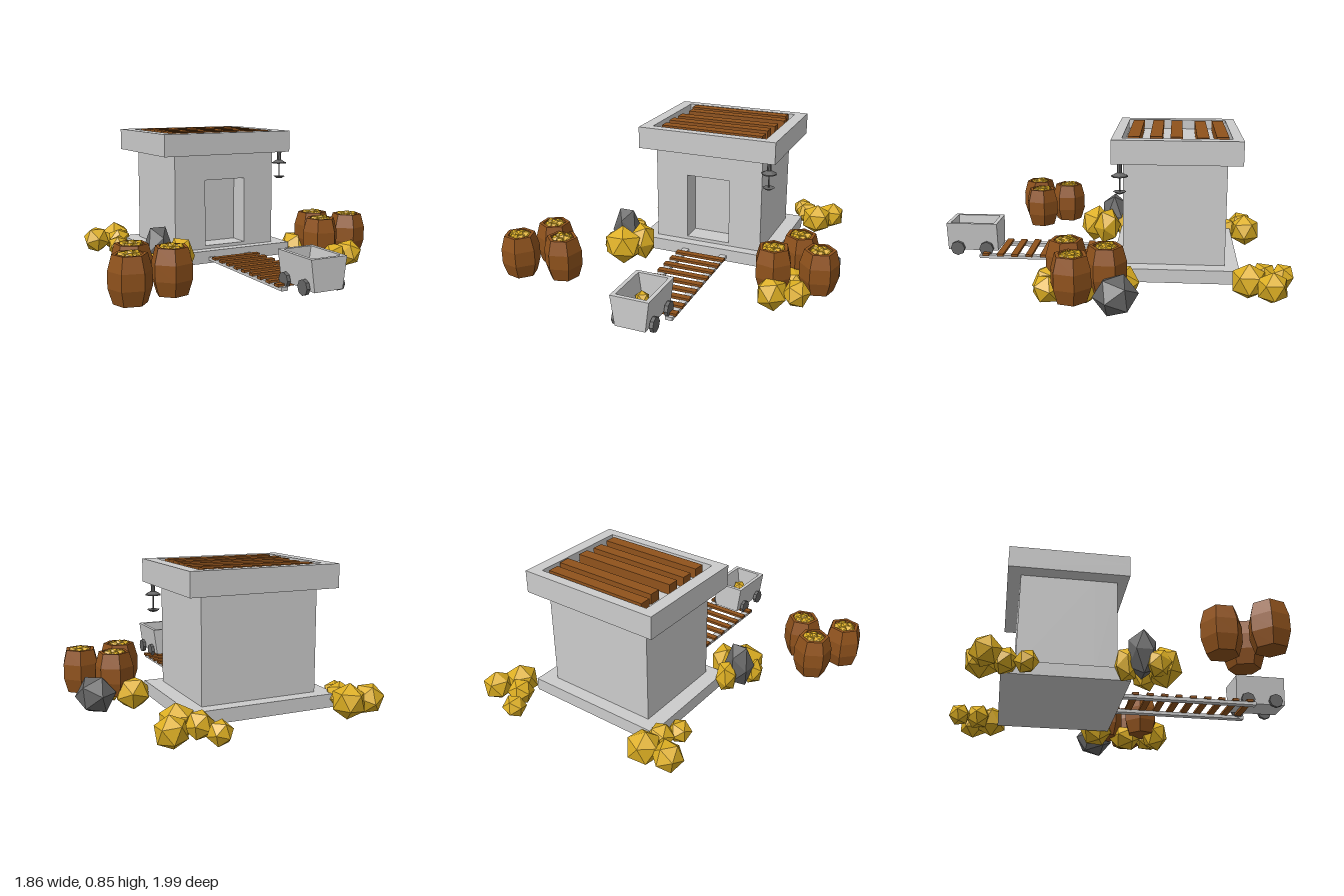
import * as THREE from 'three';

const mat = (color) => new THREE.MeshStandardMaterial({ color, flatShading: true });
const grey = mat(0xcccccc), dark = mat(0x666666), gold = mat(0xdcae22), wood = mat(0x8f521c);

function add(parent, name, geo, material, x = 0, y = 0, z = 0) {
  const m = new THREE.Mesh(geo, material);
  m.name = name;
  m.position.set(x, y, z);
  parent.add(m);
  return m;
}

// Box given by its min and max corners
function box(parent, name, material, x0, x1, y0, y1, z0, z1) {
  return add(parent, name, new THREE.BoxGeometry(x1 - x0, y1 - y0, z1 - z0), material,
    (x0 + x1) / 2, (y0 + y1) / 2, (z0 + z1) / 2);
}

const rect = (T, x0, x1, y0, y1) => new T([[x0, y0], [x1, y0], [x1, y1], [x0, y1]].map((p) => new THREE.Vector2(...p)));
const poly = (pts) => new THREE.Shape(pts.map((p) => new THREE.Vector2(...p)));
const extrude = (shape, depth) => new THREE.ExtrudeGeometry(shape, { depth, bevelEnabled: false });

// Faceted rock: a turned icosahedron, stretched to its radii
function rock(parent, name, material, x, y, z, rx, ry = rx, rz = rx, turn = x * 9 + z * 5) {
  const g = new THREE.IcosahedronGeometry(1, 0);
  g.rotateX(turn * 0.7).rotateY(turn);
  g.scale(rx * 1.04, ry * 1.04, rz * 1.04);
  return add(parent, name, g, material, x, y, z);
}

// Six-sided barrel with a sunken lid, filled with nuggets
function barrel(parent, x, z, turn) {
  const g = new THREE.Group();
  g.name = 'barrel';
  g.position.set(x, 0.095, z);
  g.rotation.y = turn;
  parent.add(g);
  const profile = [[0, 0], [0.085, 0], [0.11, 0.08], [0.11, 0.165], [0.088, 0.245], [0.068, 0.245], [0.068, 0.215], [0, 0.215]];
  add(g, 'barrelBody', new THREE.LatheGeometry(profile.map((p) => new THREE.Vector2(...p)), 6), wood);
  for (let i = 0; i < 5; i++) {
    const a = i * Math.PI * 0.4 + 0.5;
    rock(g, 'barrelNugget', gold, Math.sin(a) * 0.036, 0.225, Math.cos(a) * 0.036, 0.03 + (i % 2) * 0.005);
  }
  rock(g, 'barrelNugget', gold, 0, 0.238, 0, 0.027);
}

function barrelGroup(parent, x, z) {
  barrel(parent, x, z, 0);
  barrel(parent, x - 0.095, z + 0.22, 0.3);
  barrel(parent, x + 0.152, z + 0.162, -0.25);
}

function building() {
  const g = new THREE.Group();
  g.name = 'building';
  box(g, 'base', grey, -0.36, 0.49, 0.08, 0.155, -0.695, 0);
  // Walls: solid rear block and a front slab with the doorway cut out
  box(g, 'rearWalls', grey, -0.27, 0.4, 0.155, 0.73, -0.62, -0.19);
  const front = rect(THREE.Shape, -0.27, 0.4, 0.155, 0.73);
  front.holes.push(rect(THREE.Path, -0.07, 0.2, 0.175, 0.575));
  add(g, 'frontWall', extrude(front, 0.13), grey, 0, 0, -0.19);
  // Roof: slab with a raised rim and planks lying inside
  box(g, 'roofSlab', grey, -0.36, 0.49, 0.73, 0.805, -0.695, 0);
  const rim = rect(THREE.Shape, -0.36, 0.49, 0, 0.695);
  rim.holes.push(rect(THREE.Path, -0.29, 0.42, 0.055, 0.64));
  add(g, 'roofRim', extrude(rim, 0.055).rotateX(-Math.PI / 2), grey, 0, 0.805, 0);
  for (const [x, z] of [[0.07, -0.59], [0.09, -0.485], [0.075, -0.345], [0.065, -0.235], [0.07, -0.115]])
    box(g, 'roofPlank', wood, x - 0.315, x + 0.315, 0.805, 0.863, z - 0.033, z + 0.033);
  return g;
}

function lantern() {
  const g = new THREE.Group();
  g.name = 'lantern';
  g.position.set(0.445, 0, -0.045);
  add(g, 'lanternHanger', new THREE.CylinderGeometry(0.013, 0.013, 0.06, 8), dark, 0, 0.705);
  add(g, 'lanternCap', new THREE.CylinderGeometry(0.015, 0.045, 0.018, 8), dark, 0, 0.669);
  add(g, 'lanternRim', new THREE.CylinderGeometry(0.045, 0.045, 0.006, 8), dark, 0, 0.659);
  add(g, 'lanternRod', new THREE.CylinderGeometry(0.004, 0.004, 0.09, 6), dark, 0, 0.615);
  add(g, 'lanternFoot', new THREE.CylinderGeometry(0.036, 0.018, 0.012, 8), dark, 0, 0.569);
  return g;
}

function track() {
  const g = new THREE.Group();
  g.name = 'track';
  for (const x of [-0.057, 0.19]) box(g, 'rail', grey, x - 0.02, x + 0.02, 0.098, 0.118, -0.01, 0.8);
  for (let i = 0; i < 9; i++) {
    const z = 0.077 + i * 0.0855;
    box(g, 'tie', wood, -0.085, 0.222, 0.115, 0.13, z - 0.019, z + 0.019);
  }
  return g;
}

function cart() {
  const g = new THREE.Group();
  g.name = 'cart';
  g.position.set(0.07, 0, 0);
  // Tapered trough closed by two end plates
  const trough = poly([[-0.085, 0.13], [0.085, 0.13], [0.108, 0.298], [0.086, 0.298], [0.068, 0.16], [-0.068, 0.16], [-0.086, 0.298], [-0.108, 0.298]]);
  const end = poly([[-0.085, 0.13], [0.085, 0.13], [0.108, 0.298], [-0.108, 0.298]]);
  add(g, 'cartTrough', extrude(trough, 0.256), grey, 0, 0, 0.722);
  for (const z of [0.7, 0.978]) add(g, 'cartEnd', extrude(end, 0.022), grey, 0, 0, z);
  for (const z of [0.765, 0.937]) {
    add(g, 'axle', new THREE.CylinderGeometry(0.01, 0.01, 0.2, 6).rotateZ(Math.PI / 2), dark, 0, 0.147, z);
    for (const x of [-0.106, 0.106])
      add(g, 'wheel', new THREE.CylinderGeometry(0.042, 0.042, 0.02, 8).rotateZ(Math.PI / 2), dark, x, 0.147, z);
  }
  for (const [x, z, r] of [[-0.03, 0.795, 0.04], [0.028, 0.842, 0.024], [-0.03, 0.878, 0.024], [0.022, 0.905, 0.044]])
    rock(g, 'cartNugget', gold, x, 0.16 + r * 0.8, z, r);
  return g;
}

function rocks() {
  const g = new THREE.Group();
  g.name = 'rockPiles';
  // Rear piles: x, y, z, radius
  const rear = [
    [0.44, 0.12, -0.93, 0.066], [0.655, 0.13, -0.85, 0.085], [0.5, 0.135, -0.82, 0.075], [0.58, 0.135, -0.735, 0.095],
    [-0.515, 0.13, -0.775, 0.085], [-0.375, 0.135, -0.795, 0.095], [-0.395, 0.135, -0.675, 0.075], [-0.44, 0.12, -0.565, 0.066],
  ];
  for (const r of rear) rock(g, 'goldRock', gold, ...r);
  // Front piles: x, y, z, then the three radii
  const front = [
    [-0.4, 0.155, 0.17, 0.12, 0.115, 0.1], [-0.305, 0.165, 0.09, 0.08, 0.115, 0.085], [-0.395, 0.16, -0.03, 0.065, 0.1, 0.07],
    [-0.48, 0.14, 0.13, 0.06, 0.08, 0.07],
    [0.585, 0.11, -0.065, 0.1, 0.095, 0.1], [0.73, 0.12, 0.305, 0.075, 0.08, 0.085], [0.595, 0.105, 0.325, 0.09, 0.1, 0.085],
    [0.67, 0.1, 0.14, 0.1, 0.08, 0.1],
  ];
  for (const r of front) rock(g, 'goldRock', gold, ...r);
  rock(g, 'greyRock', dark, 0.795, 0.12, -0.05, 0.11, 0.11, 0.115);
  rock(g, 'greyRock', dark, -0.43, 0.21, 0.05, 0.085, 0.145, 0.085, 0);
  return g;
}

export function createModel() {
  const model = new THREE.Group();
  model.name = 'mine';
  model.add(building(), lantern(), track(), cart(), rocks());
  barrelGroup(model, -0.73, 0.4);
  barrelGroup(model, 0.665, 0.01);
  return model;
}
